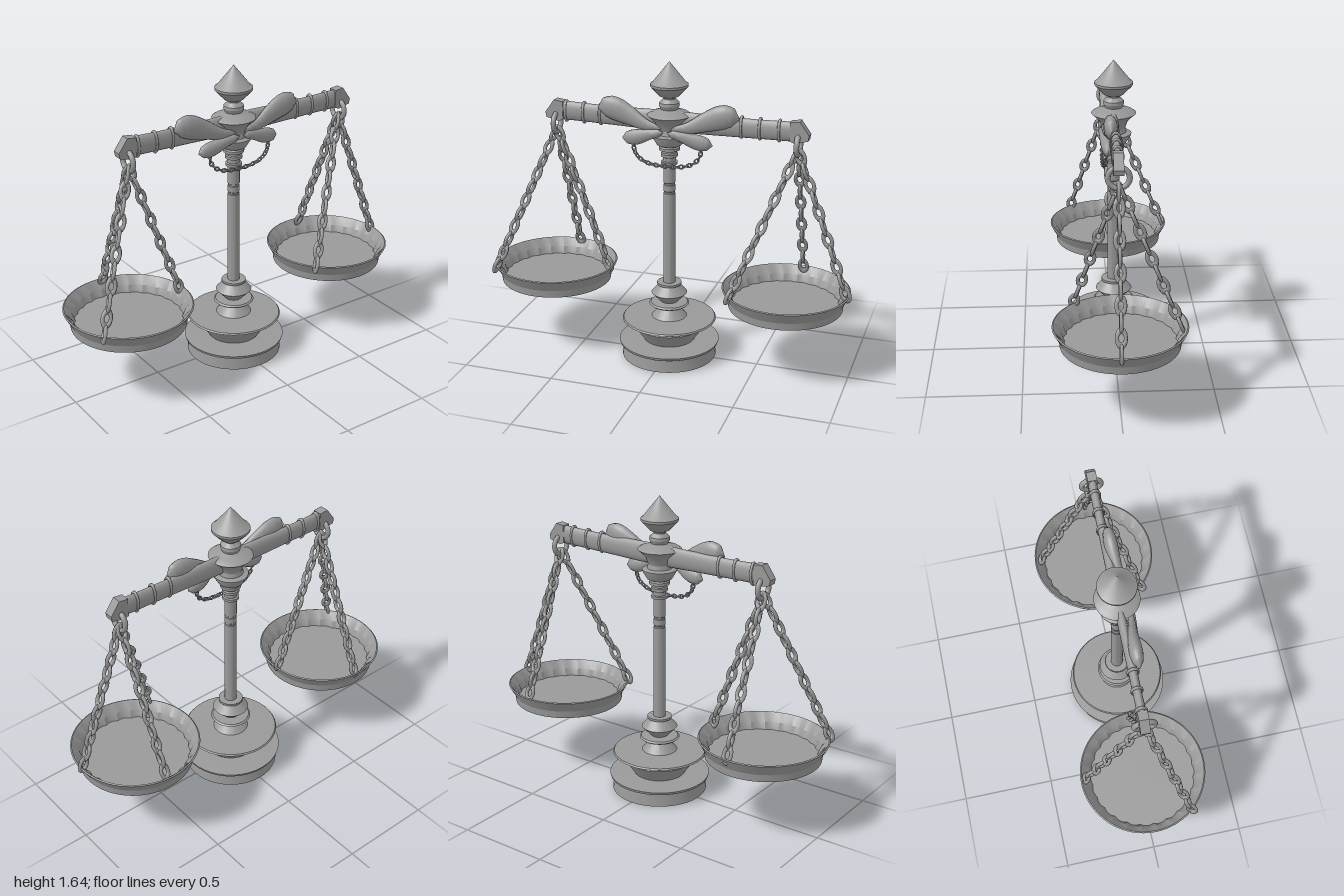
import * as THREE from 'three';
import { toCreasedNormals } from 'three/addons/utils/BufferGeometryUtils.js';

const steel = new THREE.MeshStandardMaterial({ color: 0x999999 });
steel.name = 'grey metal';

const UP = new THREE.Vector3(0, 1, 0);
const v3 = (p) => new THREE.Vector3(...p);

function add(parent, name, geometry) {
  const mesh = new THREE.Mesh(geometry, steel);
  mesh.name = name;
  parent.add(mesh);
  return mesh;
}

// Turned part from [radius, y] pairs, sharp at the profile's corners
function turned(profile, segments = 40) {
  const pts = profile.map(([r, y]) => new THREE.Vector2(r, y));
  return toCreasedNormals(new THREE.LatheGeometry(pts, segments), 0.5);
}

// Tube whose radius follows a list of values, flattened in z about its path
function taperedTube(points, radii, flat, steps = 28, sides = 14) {
  const curve = new THREE.CatmullRomCurve3(points.map(v3));
  const geo = new THREE.TubeGeometry(curve, steps, 1, sides);
  const pos = geo.attributes.position;
  const v = new THREE.Vector3();
  for (let i = 0; i <= steps; i++) {
    const c = curve.getPointAt(i / steps);
    const f = (i / steps) * (radii.length - 1);
    const k = Math.min(Math.floor(f), radii.length - 2);
    const r = THREE.MathUtils.lerp(radii[k], radii[k + 1], f - k);
    for (let j = 0; j <= sides; j++) {
      const n = i * (sides + 1) + j;
      v.fromBufferAttribute(pos, n).sub(c).multiplyScalar(r);
      v.z *= flat;
      v.add(c);
      pos.setXYZ(n, v.x, v.y, v.z);
    }
  }
  return toCreasedNormals(geo, 1.0);
}

// Chain of alternating oval links along a curve
function chain(parent, name, curve, count, link) {
  const group = new THREE.Group();
  group.name = name;
  for (let i = 0; i < count; i++) {
    const t = (i + 0.5) / count;
    const mesh = add(group, 'chainLink', link);
    mesh.position.copy(curve.getPointAt(t));
    mesh.quaternion.setFromUnitVectors(UP, curve.getTangentAt(t));
    mesh.rotateY((i % 2) * Math.PI / 2);
  }
  parent.add(group);
}

function ovalLink(radius, tube, stretch) {
  const geo = new THREE.TorusGeometry(radius, tube, 7, 14);
  geo.scale(1, stretch, 1);
  return geo;
}

// Shallow pan with a flared wall, fluted inside
function panGeometry() {
  const pts = [[0, 0.37], [0.303, 0.37], [0.307, 0.41], [0.318, 0.43], [0.34, 0.47],
    [0.333, 0.474], [0.3, 0.43], [0.285, 0.39], [0, 0.388]];
  const geo = new THREE.LatheGeometry(pts.map(([r, y]) => new THREE.Vector2(r, y)), 96);
  const pos = geo.attributes.position;
  for (let i = 0; i < pos.count; i++) {
    const row = i % pts.length;
    if (row < 6 || row > 7) continue;
    const angle = Math.atan2(pos.getZ(i), pos.getX(i));
    const s = 1 - 0.03 * (1 - Math.abs(Math.sin(angle * 12)));
    pos.setXYZ(i, pos.getX(i) * s, pos.getY(i), pos.getZ(i) * s);
  }
  return toCreasedNormals(geo, 0.4);
}

export function createModel() {
  const model = new THREE.Group();
  model.name = 'balanceScale';

  // Stepped base
  add(model, 'base', turned([[0, 0], [0.258, 0], [0.25, 0.065], [0.235, 0.068], [0.24, 0.074],
    [0.27, 0.076], [0.274, 0.09], [0.23, 0.092], [0.14, 0.094], [0.196, 0.178],
    [0.175, 0.205], [0.245, 0.208], [0.256, 0.214], [0.25, 0.222], [0.095, 0.225],
    [0.035, 0.29], [0.1, 0.292], [0.109, 0.3], [0.1, 0.308], [0.045, 0.31],
    [0.097, 0.364], [0.058, 0.408], [0.066, 0.412], [0.066, 0.424], [0, 0.425]]));

  // Column with two grooves and a ringed collar
  add(model, 'column', turned([[0.033, 0.42], [0.032, 0.935], [0.029, 0.938], [0.029, 0.946],
    [0.032, 0.949], [0.032, 0.982], [0.029, 0.985], [0.029, 0.993], [0.032, 0.996],
    [0.032, 1.095], [0.044, 1.098], [0.044, 1.112], [0.034, 1.115], [0.034, 1.135],
    [0.045, 1.14], [0.045, 1.155], [0.038, 1.16], [0.038, 1.17], [0.055, 1.175],
    [0.055, 1.19], [0.045, 1.2]], 28));

  // Hub and pointed finial
  add(model, 'hub', turned([[0.045, 1.195], [0.066, 1.205], [0.09, 1.245], [0.092, 1.255],
    [0.065, 1.262], [0.06, 1.285], [0.075, 1.325], [0.1, 1.35], [0.116, 1.364],
    [0.1, 1.375], [0.075, 1.382], [0.045, 1.395], [0.054, 1.415], [0.052, 1.43],
    [0.032, 1.45], [0.03, 1.462]]));
  add(model, 'finial', turned([[0.03, 1.455], [0.052, 1.465], [0.096, 1.512], [0.099, 1.516],
    [0.099, 1.528], [0.09, 1.532], [0, 1.645]]));

  // Beam, very slightly turned about the column
  const beam = new THREE.Group();
  beam.name = 'beam';
  beam.rotation.y = -0.015;
  beam.position.z = 0.003;
  model.add(beam);
  add(beam, 'beamArm', taperedTube(
    [[-0.635, 1.338, 0], [-0.4, 1.333, 0], [0, 1.33, 0], [0.4, 1.33, 0], [0.69, 1.335, 0]],
    [0.052, 0.05, 0.052, 0.056, 0.056, 0.052, 0.05, 0.052], 0.45, 32, 18));

  const ring = new THREE.TorusGeometry(0.054, 0.008, 8, 24);
  ring.rotateY(Math.PI / 2);
  for (const x of [-0.577, -0.475, -0.38, 0.39, 0.487, 0.588]) {
    const mesh = add(beam, 'beamRing', ring);
    mesh.position.set(x, 1.334, 0);
    mesh.scale.z = 0.52;
  }

  const bigLink = ovalLink(0.021, 0.01, 1.75);
  const hookRing = new THREE.TorusGeometry(0.052, 0.014, 10, 24);
  hookRing.rotateY(Math.PI / 2);
  const pan = panGeometry();

  for (const side of [-1, 1]) {
    const label = side > 0 ? 'left' : 'right';
    const endX = side > 0 ? 0.695 : 0.64;

    // Angular beam end
    const outline = [[-0.05, 1.388], [0, 1.394], [0.05, 1.325], [0.045, 1.297], [-0.025, 1.28], [-0.05, 1.29]];
    const shape = new THREE.Shape(outline.map(([x, y]) => new THREE.Vector2(side * (endX + x), y)));
    const end = add(beam, label + 'BeamEnd', new THREE.ExtrudeGeometry(shape, { depth: 0.05, bevelEnabled: false }));
    end.position.z = -0.025;

    // Leaf ornaments on the front
    add(model, label + 'UpperLeaf', taperedTube(
      [[side * 0.02, 1.3, 0.06], [side * 0.12, 1.315, 0.05], [side * 0.22, 1.355, 0.035],
        [side * 0.31, 1.385, 0.03], [side * 0.385, 1.378, 0.03]],
      [0, 0.018, 0.026, 0.034, 0.042, 0.05, 0.057, 0.062, 0.062, 0.05, 0], 0.55, 40));
    add(model, label + 'LowerLeaf', taperedTube(
      [[side * 0.01, 1.285, 0.07], [side * 0.09, 1.265, 0.06], [side * 0.17, 1.24, 0.045], [side * 0.247, 1.228, 0.04]],
      [0, 0.02, 0.024, 0.028, 0.033, 0.038, 0.041, 0.04, 0.032, 0], 0.65, 36));

    // Hook ring, three chains and the pan
    const hx = side > 0 ? 0.687 : -0.632;
    const hz = side > 0 ? 0.012 : 0;
    add(model, label + 'HookRing', hookRing).position.set(hx, 1.268, hz);
    for (const [dx, dz] of [[-0.305, 0.222], [-0.01, -0.322], [0.29, 0]]) {
      const line = new THREE.LineCurve3(new THREE.Vector3(hx, 1.24, hz),
        new THREE.Vector3(hx + dx, 0.45, hz + dz));
      chain(model, label + 'PanChain', line, 11, bigLink);
    }
    add(model, label + 'Pan', pan).position.x = side > 0 ? 0.647 : -0.663;
  }

  // Small chain draped below the leaves
  const drape = new THREE.CatmullRomCurve3([[-0.185, 1.215, 0.045], [-0.17, 1.155, 0.05],
    [-0.12, 1.115, 0.055], [0, 1.098, 0.058], [0.125, 1.115, 0.055],
    [0.175, 1.155, 0.05], [0.19, 1.215, 0.045]].map(v3));
  chain(model, 'drapedChain', drape, 22, ovalLink(0.0095, 0.004, 1.5));

  return model;
}
